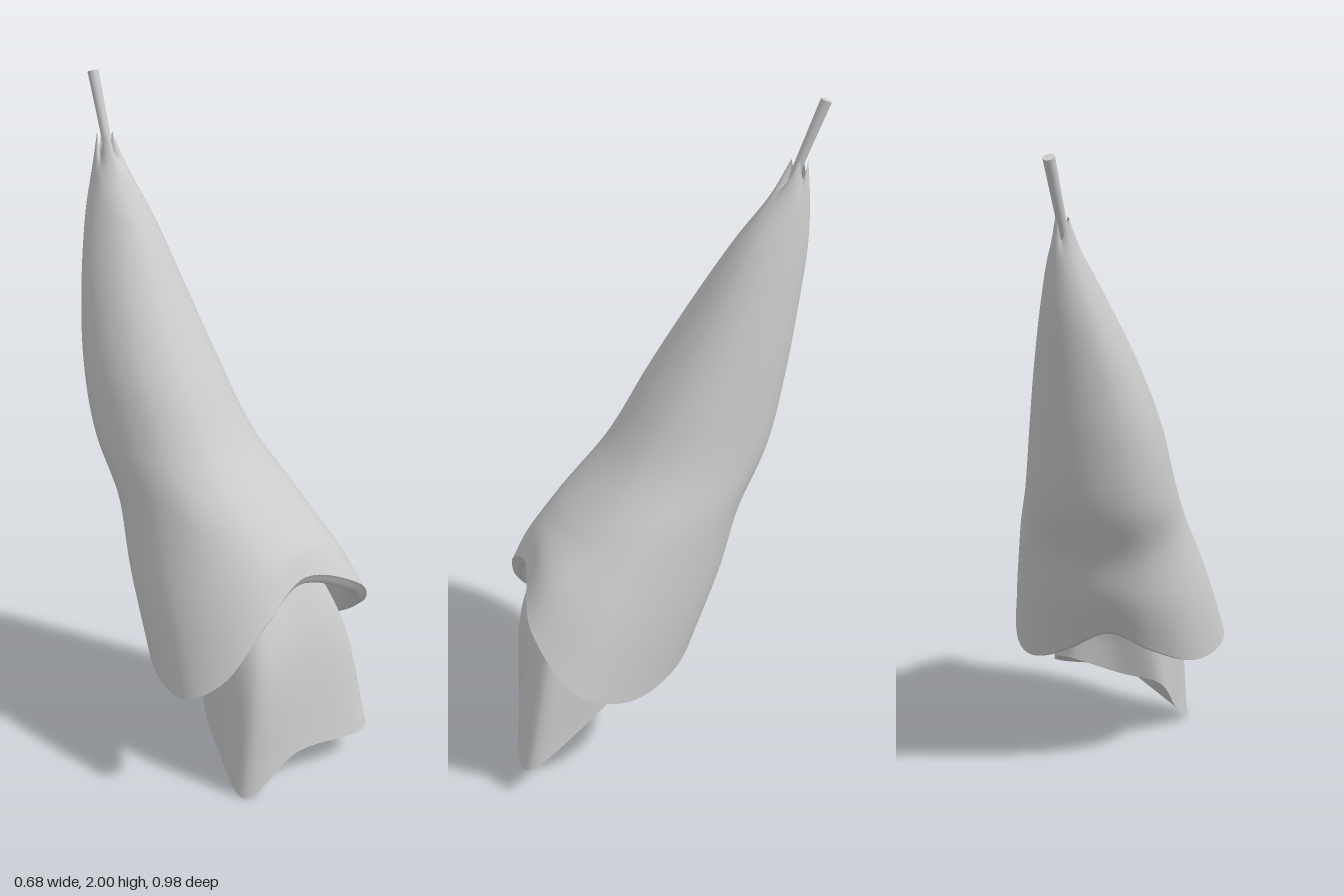
import * as THREE from 'three';

const V = (p) => new THREE.Vector3(...p);

// Smooth skin through closed stations of matching control points
function loft(name, stations, around, down) {
  const loops = stations.map((s) => {
    const curve = new THREE.CatmullRomCurve3(s.map(V), true);
    return Array.from({ length: around }, (_, i) => curve.getPoint(i / around));
  });
  const pos = [], index = [];
  for (let i = 0; i < around; i++) {
    const line = new THREE.CatmullRomCurve3(loops.map((l) => l[i]));
    for (let j = 0; j <= down; j++) pos.push(...line.getPoint(j / down).toArray());
  }
  const at = (i, j) => (i % around) * (down + 1) + j;
  for (let i = 0; i < around; i++) {
    for (let j = 0; j < down; j++) {
      index.push(at(i, j), at(i, j + 1), at(i + 1, j));
      index.push(at(i + 1, j), at(i, j + 1), at(i + 1, j + 1));
    }
  }
  const geo = new THREE.BufferGeometry();
  geo.setAttribute('position', new THREE.Float32BufferAttribute(pos, 3));
  geo.setIndex(index);
  geo.computeVertexNormals();
  const mat = new THREE.MeshStandardMaterial({ color: 0xcccccc, side: THREE.DoubleSide });
  const mesh = new THREE.Mesh(geo, mat);
  mesh.name = name;
  return mesh;
}

// Level, slightly squared oval of 12 points
const squared = (v) => Math.sign(v) * Math.abs(v) ** 0.9;
function oval(y, x0, x1, z0, z1) {
  return Array.from({ length: 12 }, (_, i) => {
    const a = (i / 12) * Math.PI * 2;
    return [
      (x0 + x1) / 2 + ((x1 - x0) / 2) * squared(Math.sin(a)),
      y,
      (z0 + z1) / 2 + ((z1 - z0) / 2) * squared(Math.cos(a)),
    ];
  });
}

const toward = (s, c, k) => s.map((p) => p.map((v, i) => c[i] + (v - c[i]) * k));

export function createModel() {
  const group = new THREE.Group();

  // Hood: leaning cone that flares to a rim with two low side lobes
  const rim = [
    [-0.01, 0.68, 0.385], [0.19, 0.59, 0.45], [0.325, 0.43, 0.37], [0.32, 0.345, 0.2],
    [0.245, 0.37, 0.01], [0.13, 0.46, -0.11], [0, 0.54, -0.15], [-0.13, 0.46, -0.1],
    [-0.26, 0.37, 0.02], [-0.34, 0.365, 0.2], [-0.295, 0.44, 0.31], [-0.17, 0.6, 0.37],
  ];
  const tip = oval(1.83, 0.068, 0.112, -0.44, -0.395);
  tip.forEach((p, i) => { p[1] -= [0.05, 0.015, 0][i % 3]; }); // ragged end
  const sections = [
    oval(1.73, 0.04, 0.13, -0.45, -0.34),
    oval(1.6, -0.015, 0.155, -0.455, -0.245),
    oval(1.4, -0.095, 0.185, -0.435, -0.125),
    oval(1.2, -0.155, 0.21, -0.405, -0.005),
    oval(1.0, -0.19, 0.235, -0.355, 0.12),
    oval(0.82, -0.22, 0.27, -0.26, 0.29),
  ];
  const flare = sections[5].map((p, i) => p.map((v, k) => (v + rim[i][k]) / 2));
  flare.forEach((p) => { p[0] *= 1.02; p[2] = 0.05 + (p[2] - 0.05) * 1.05; });
  group.add(loft('hood', [tip, ...sections, flare, rim], 96, 80));

  // Hood lining, giving the rim its thickness
  const lining = [
    rim,
    toward(rim, [0, 0.35, 0.15], 0.9),
    toward(sections[5], [0.02, 0.82, 0.02], 0.88),
    toward(sections[4], [0.02, 1.0, -0.11], 0.85),
    toward(sections[3], [0.03, 1.2, -0.2], 0.8),
  ];
  group.add(loft('hoodLining', lining, 96, 36));

  // Inner body: four-sided block emerging below the hood
  const top = [
    [0, 0.72, 0.27], [0.1, 0.72, 0.28], [0.13, 0.78, 0.15], [0.08, 0.8, 0],
    [0, 0.8, -0.02], [-0.07, 0.8, 0], [-0.1, 0.78, 0.13], [-0.09, 0.72, 0.26],
  ];
  const middle = [
    [-0.02, 0.45, 0.37], [0.18, 0.45, 0.4], [0.2, 0.47, 0.26], [0.1, 0.5, 0.09],
    [0, 0.5, 0.06], [-0.1, 0.5, 0.07], [-0.18, 0.45, 0.2], [-0.175, 0.42, 0.34],
  ];
  const bottom = [
    [-0.06, 0.11, 0.41], [0.205, 0.1, 0.485], [0.205, 0.22, 0.28], [0.14, 0.33, 0.08],
    [-0.02, 0.27, 0.1], [-0.14, 0.23, 0.12], [-0.19, 0.09, 0.22], [-0.222, 0.003, 0.335],
  ];
  group.add(loft('innerBody', [top, middle, bottom], 64, 24));

  // Underside of the body, drawn in to a dimple
  const dimple = [0, 0.22, 0.27];
  const underside = [1, 0.55, 0.15, 0.01].map((k) => toward(bottom, dimple, k));
  group.add(loft('underside', underside, 64, 14));

  // Stem leaning back out of the tip
  const from = V([0.083, 1.75, -0.39]), to = V([0.115, 1.995, -0.477]);
  const dir = to.clone().sub(from);
  const stem = new THREE.Mesh(
    new THREE.CylinderGeometry(0.016, 0.012, dir.length(), 16),
    new THREE.MeshStandardMaterial({ color: 0xcccccc })
  );
  stem.name = 'stem';
  stem.position.copy(from).addScaledVector(dir, 0.5);
  stem.quaternion.setFromUnitVectors(new THREE.Vector3(0, 1, 0), dir.normalize());
  group.add(stem);

  return group;
}
